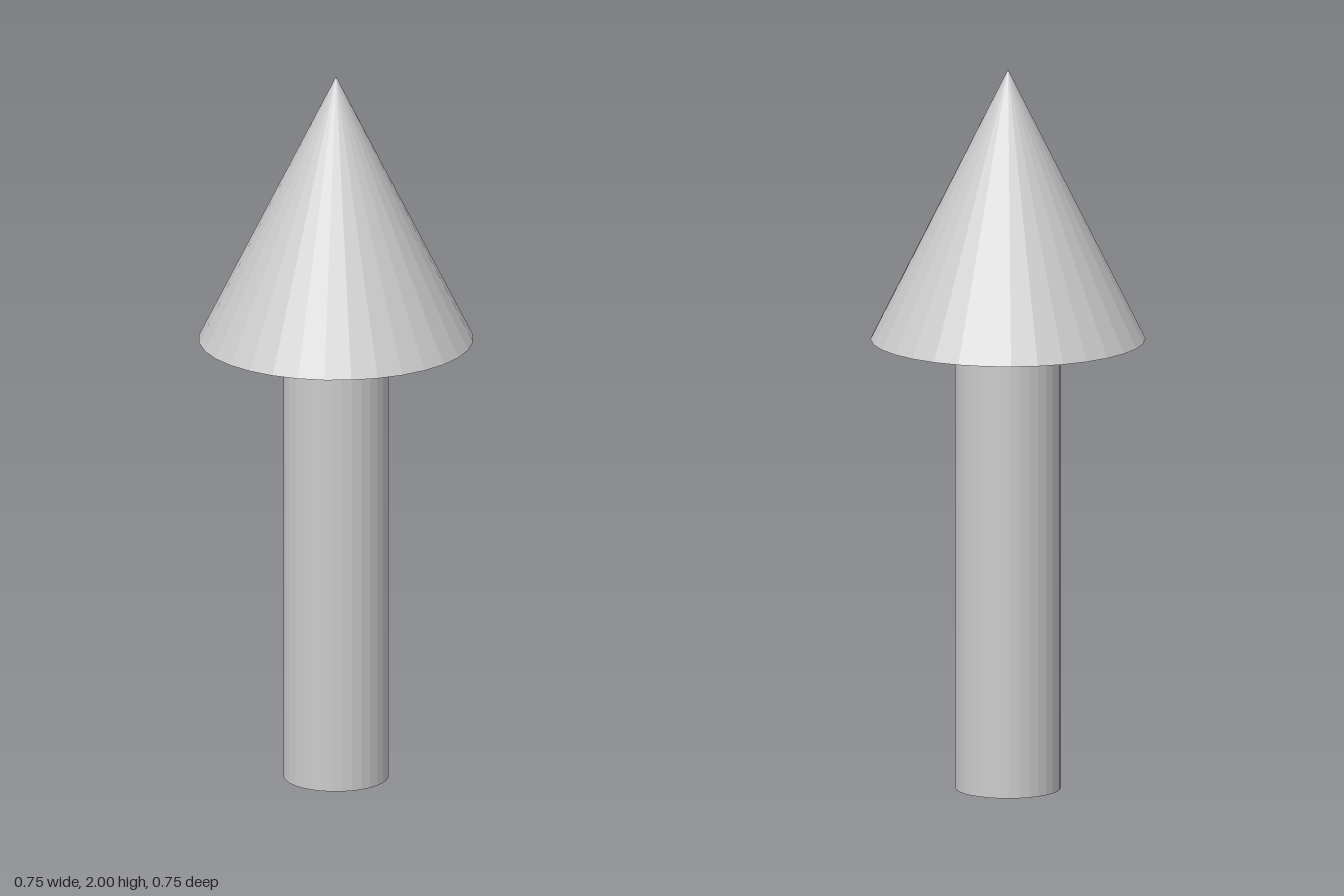
import * as THREE from 'three';

const SIDES = 32;
const HEAD_BASE = 1.25;
const TOP = 2;

export function createModel() {
  const group = new THREE.Group();
  group.name = 'upArrow';
  const material = new THREE.MeshStandardMaterial({ color: 0xcccccc, flatShading: true });

  const addPart = (name, geometry, y) => {
    const mesh = new THREE.Mesh(geometry, material);
    mesh.name = name;
    mesh.position.y = y;
    group.add(mesh);
  };

  // Round shaft standing on the ground
  addPart('shaft', new THREE.CylinderGeometry(0.144, 0.144, HEAD_BASE, SIDES), HEAD_BASE / 2);

  // Pointed head with a closed flat underside
  addPart('head', new THREE.ConeGeometry(0.375, TOP - HEAD_BASE, SIDES), (HEAD_BASE + TOP) / 2);

  return group;
}
